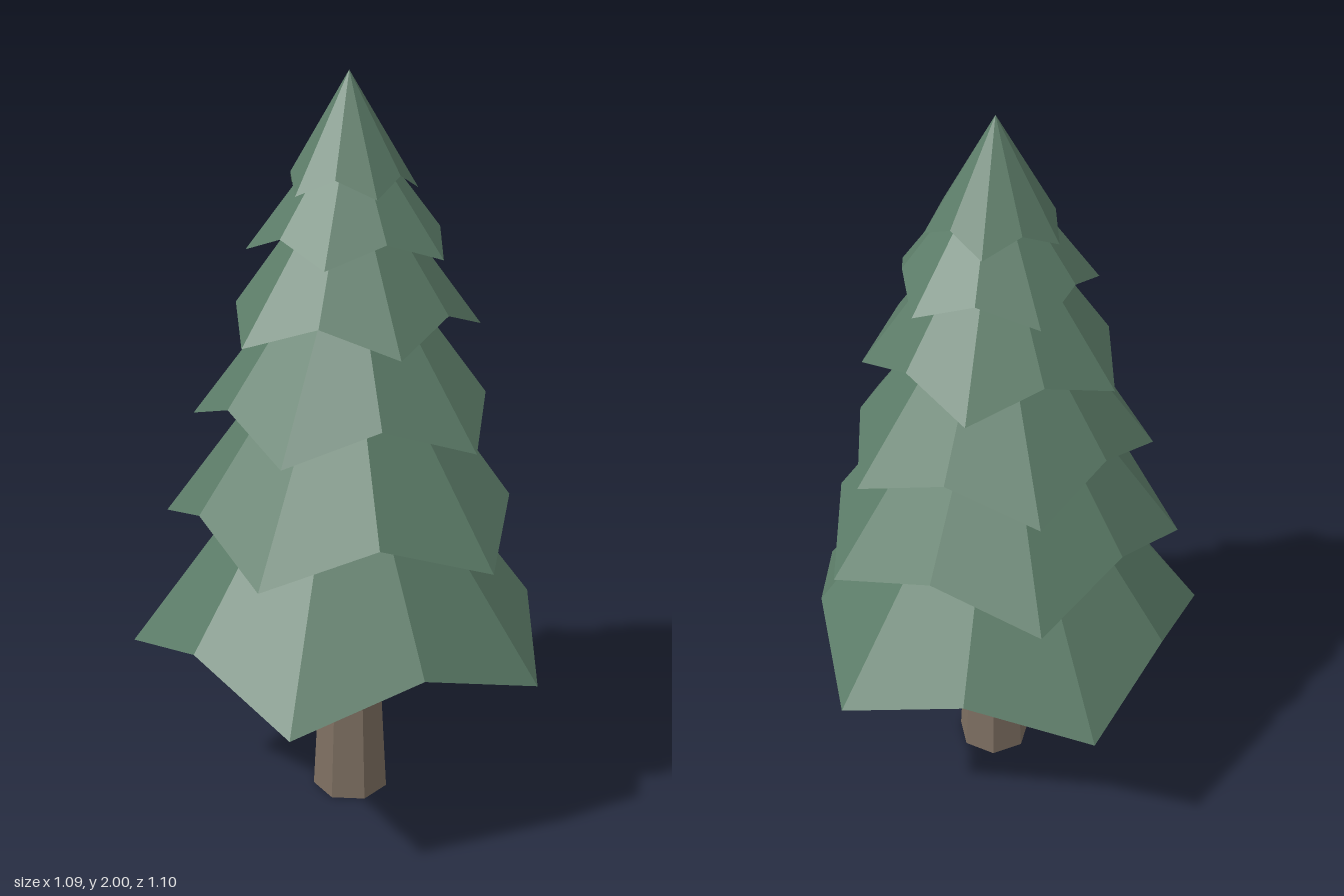
import * as THREE from 'three';

const foliage = new THREE.MeshStandardMaterial({ color: 0x5b7b67 });
foliage.name = 'foliageGreen';
const bark = new THREE.MeshStandardMaterial({ color: 0x7d6f61, flatShading: true });
bark.name = 'barkBrown';

// Branch tiers from bottom to top: centre, long and short radius,
// heights of drooping points, notches and peak, turn in degrees
const TIERS = [
  { x: -0.033, z: 0.025, long: 0.583, short: 0.508, low: 0.48, notch: 0.588, peak: 1.27, turn: -8 },
  { x: -0.027, z: 0.029, long: 0.5, short: 0.43, low: 0.82, notch: 0.918, peak: 1.5, turn: 4.4 },
  { x: -0.016, z: 0.02, long: 0.417, short: 0.355, low: 1.107, notch: 1.19, peak: 1.66, turn: 2 },
  { x: -0.018, z: 0.023, long: 0.34, short: 0.29, low: 1.36, notch: 1.427, peak: 1.82, turn: 29.5 },
  { x: -0.02, z: 0.033, long: 0.265, short: 0.225, low: 1.565, notch: 1.617, peak: 1.91, turn: -7.5 },
  { x: -0.02, z: 0.025, long: 0.173, short: 0.146, low: 1.713, notch: 1.757, peak: 2, turn: 28 },
];

// Geometry with one normal per triangle
function facets(corners) {
  const geometry = new THREE.BufferGeometry();
  geometry.setAttribute('position', new THREE.Float32BufferAttribute(corners.flat(), 3));
  geometry.computeVertexNormals();
  return geometry;
}

// Star-edged cone, and an underside with a level middle and five drooping points
function makeTier({ x, z, long, short, low, notch, peak, turn }) {
  const rim = [];
  for (let i = 0; i < 10; i++) {
    const a = THREE.MathUtils.degToRad(turn + i * 36);
    const r = i % 2 ? short : long;
    rim.push([x + r * Math.cos(a), i % 2 ? notch : low, z + r * Math.sin(a)]);
  }
  const top = [x, peak, z];
  const middle = [x, notch, z];
  const needles = [];
  const below = [];
  rim.forEach((p, i) => {
    const next = rim[(i + 1) % 10];
    needles.push(top, next, p);
    if (i % 2 === 0) {
      const previous = rim[(i + 9) % 10];
      below.push(previous, p, next, previous, next, middle);
    }
  });

  // The underside is shaded as one downward face
  const underGeometry = facets(below);
  const normals = underGeometry.attributes.normal;
  for (let i = 0; i < normals.count; i++) normals.setXYZ(i, 0, -1, 0);

  const tier = new THREE.Group();
  const branches = new THREE.Mesh(facets(needles), foliage);
  branches.name = 'branches';
  const underside = new THREE.Mesh(underGeometry, foliage);
  underside.name = 'underside';
  tier.add(branches, underside);
  return tier;
}

export function createModel() {
  const tree = new THREE.Group();
  tree.name = 'pineTree';

  // Seven-sided tapering trunk
  const trunk = new THREE.Mesh(new THREE.CylinderGeometry(0.073, 0.107, 0.62, 7), bark);
  trunk.name = 'trunk';
  trunk.position.set(-0.022, 0.31, 0.034);
  trunk.rotation.y = THREE.MathUtils.degToRad(-11);
  tree.add(trunk);

  // Stacked branches
  TIERS.forEach((settings, i) => {
    const tier = makeTier(settings);
    tier.name = `branchTier${i + 1}`;
    tree.add(tier);
  });
  return tree;
}
